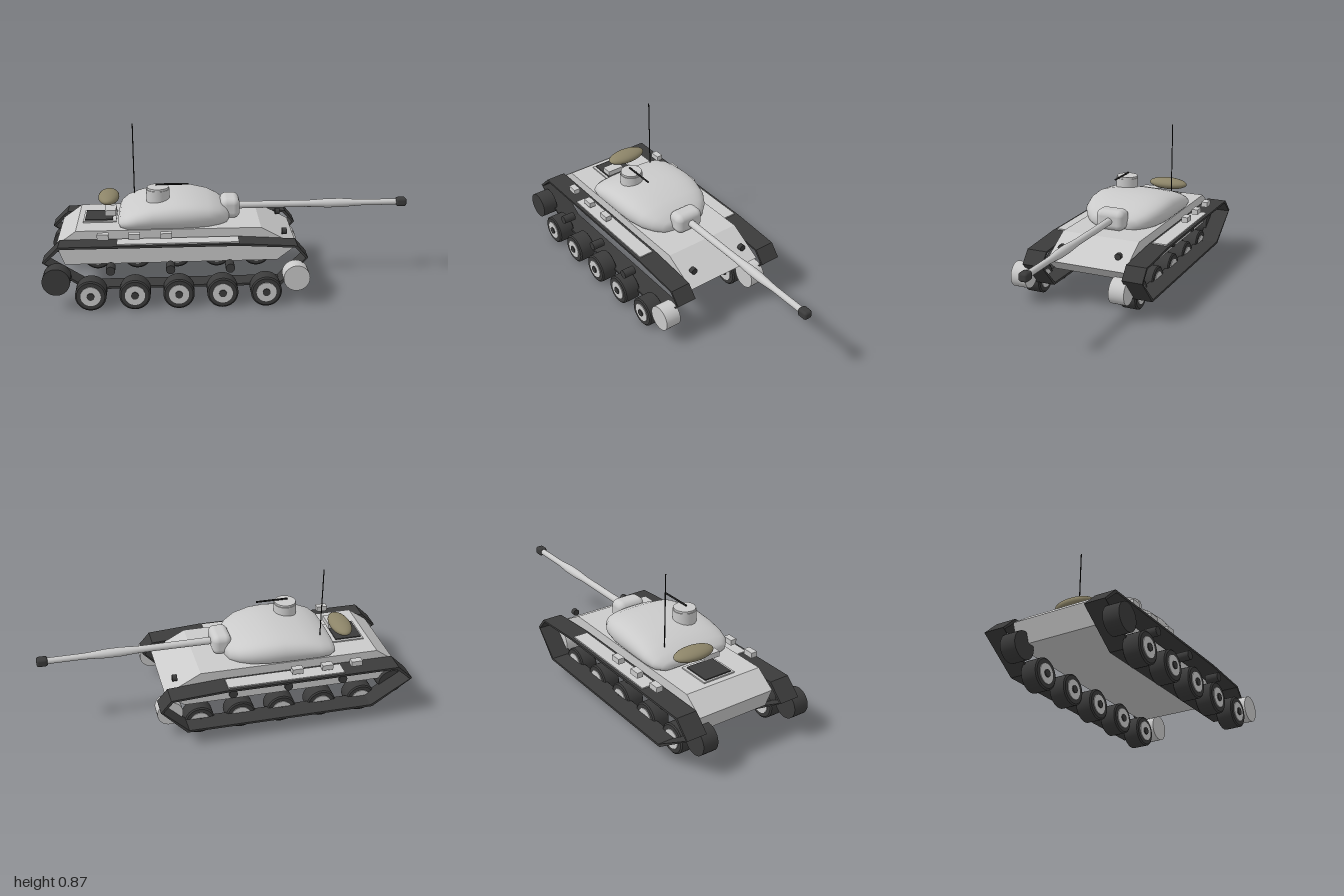
import * as THREE from 'three';
import { RoundedBoxGeometry } from 'three/addons/geometries/RoundedBoxGeometry.js';
import { toCreasedNormals } from 'three/addons/utils/BufferGeometryUtils.js';

const mat = (name, color) => {
  const m = new THREE.MeshStandardMaterial({ color });
  m.name = name;
  return m;
};

export function createModel() {
  const model = new THREE.Group();
  model.name = 'tank';
  const light = mat('light grey', 0xcacaca);
  const dark = mat('dark grey', 0x3b3b3b);
  const black = mat('black', 0x1c1c1c);
  const tan = mat('olive tan', 0x8c8468);

  const add = (name, geo, material, x = 0, y = 0, z = 0, parent = model) => {
    const mesh = new THREE.Mesh(geo, material);
    mesh.name = name;
    mesh.position.set(x, y, z);
    parent.add(mesh);
    return mesh;
  };
  const box = (w, h, d) => new THREE.BoxGeometry(w, h, d);
  const cylX = (r, len) => new THREE.CylinderGeometry(r, r, len, 24).rotateZ(-Math.PI / 2);
  const cylZ = (r, len) => new THREE.CylinderGeometry(r, r, len, 32).rotateX(Math.PI / 2);
  const vecs = (pts) => pts.map(([x, y]) => new THREE.Vector2(x, y));
  const lathe = (pts, seg = 32) => toCreasedNormals(new THREE.LatheGeometry(vecs(pts), seg), 0.6);
  const extrude = (shape, depth) =>
    new THREE.ExtrudeGeometry(shape, { depth, bevelEnabled: false }).translate(0, 0, -depth / 2);

  const MID = -0.043; // centre line of hull, turret and gun

  // Hull: side profile extruded across the width
  const hull = new THREE.Shape(vecs([
    [-0.895, 0.185], [0.25, 0.185], [0.355, 0.265], [0.16, 0.373], [-0.83, 0.373], [-0.937, 0.295],
  ]));
  add('hull', extrude(hull, 0.452), light, 0, 0, MID);

  // Engine deck grille and stowage
  add('engineGrilleFrame', box(0.18, 0.008, 0.19), light, -0.71, 0.376, -0.045);
  add('engineGrille', box(0.15, 0.008, 0.16), dark, -0.715, 0.382, -0.045);
  add('rearStowageBox', box(0.06, 0.03, 0.1), light, -0.65, 0.425, 0);
  add('stowageRoll', new THREE.SphereGeometry(1, 32, 20).scale(0.058, 0.033, 0.117), tan, -0.665, 0.471, -0.105);

  // Headlights
  for (const z of [0.123, -0.21]) add('headlight', cylX(0.018, 0.026), dark, 0.292, 0.328, z);

  // Running gear shapes
  const beltPts = [
    [-0.78, 0.09], [0.26, 0.09], [0.4, 0.24], [0.343, 0.308], [0.05, 0.327], [-0.915, 0.328], [-1, 0.245],
  ];
  const belt = new THREE.Shape(vecs(beltPts));
  belt.holes.push(new THREE.Path(
    vecs(beltPts.map(([x, y]) => [-0.3 + (x + 0.3) * 0.982, 0.209 + (y - 0.209) * 0.9])).reverse()));
  const beltGeo = extrude(belt, 0.115);
  const tireGeo = lathe([
    [0, -0.048], [0.074, -0.048], [0.082, -0.042], [0.082, 0.042], [0.074, 0.048], [0, 0.048],
  ], 40).rotateX(Math.PI / 2);

  for (const side of [1, -1]) {
    const gear = new THREE.Group();
    gear.name = side > 0 ? 'frontSideRunningGear' : 'backSideRunningGear';
    model.add(gear);
    const trackZ = MID + side * 0.29;
    const wheelZ = 0.045 + side * 0.29;
    add('trackBelt', beltGeo, dark, 0, 0, trackZ, gear);
    add('fenderPlate', box(0.645, 0.008, 0.083), light, -0.288, 0.33, trackZ, gear);
    for (const x of [-0.682, -0.517, -0.35]) {
      add('fenderBox', box(0.06, 0.03, 0.036), light, x, 0.367, trackZ + 0.008 * (side > 0 ? 1 : -1.2), gear);
    }
    // Road wheels with light discs and dark hub caps
    for (let i = 0; i < 5; i++) {
      const x = -0.749 + i * 0.2303;
      add('roadWheelTire', tireGeo, dark, x, 0.083, wheelZ, gear);
      add('roadWheelDisc', cylZ(0.053, 0.104), light, x, 0.083, wheelZ, gear);
      add('roadWheelHub', cylZ(0.02, 0.116), dark, x, 0.083, wheelZ, gear);
    }
    for (const x of [-0.642, -0.33, -0.018]) add('returnRoller', cylZ(0.024, 0.07), dark, x, 0.216, wheelZ, gear);
    add('driveSprocket', cylZ(0.073, 0.088), dark, -0.925, 0.164, wheelZ, gear);
    add('idlerWheel', cylZ(0.07, 0.088), light, 0.333, 0.154, wheelZ, gear);
  }

  // Turret: loft of cross-sections [x, half width, bottom, top]
  const sections = [
    [-0.607, 0, 0.395, 0.395], [-0.606, 0.15, 0.38, 0.41], [-0.595, 0.2, 0.372, 0.428],
    [-0.56, 0.235, 0.37, 0.455], [-0.5, 0.248, 0.37, 0.481], [-0.42, 0.25, 0.37, 0.503],
    [-0.3, 0.25, 0.37, 0.517], [-0.21, 0.244, 0.37, 0.513], [-0.12, 0.222, 0.37, 0.495],
    [-0.06, 0.185, 0.37, 0.469], [-0.02, 0.14, 0.37, 0.44], [-0.005, 0.09, 0.375, 0.42], [0, 0, 0.4, 0.4],
  ];
  const half = new THREE.CatmullRomCurve3([
    [0, 0], [0.5, 0], [0.86, 0.01], [0.96, 0.16], [1, 0.4], [0.97, 0.62], [0.88, 0.79], [0.7, 0.91], [0.4, 0.98], [0, 1],
  ].map(([z, y]) => new THREE.Vector3(0, y, z))).getPoints(24);
  const ring = [...half, ...half.slice(1, -1).reverse().map((p) => new THREE.Vector3(0, p.y, -p.z))];
  const n = ring.length, pos = [], idx = [];
  sections.forEach(([x, w, y0, y1], i) => {
    ring.forEach((p, j) => {
      pos.push(x, y0 + p.y * (y1 - y0), p.z * w);
      if (i === sections.length - 1) return;
      const a = i * n + j, c = i * n + (j + 1) % n;
      idx.push(a, a + n, c, a + n, c + n, c);
    });
  });
  const turret = new THREE.BufferGeometry();
  turret.setAttribute('position', new THREE.Float32BufferAttribute(pos, 3));
  turret.setIndex(idx);
  turret.computeVertexNormals();
  add('turret', turret, light, 0, 0, MID);

  // Gun
  add('mantlet', new RoundedBoxGeometry(0.106, 0.115, 0.164, 5, 0.035), light, 0.005, 0.429, MID);
  const barrel = new THREE.LatheGeometry(vecs([
    [0.02, 0], [0.019, 0.4], [0.02, 0.44], [0.025, 0.52], [0.025, 0.6], [0.019, 0.68], [0.017, 0.72], [0.017, 0.92],
  ]), 24).rotateZ(-Math.PI / 2);
  add('gunBarrel', barrel, light, 0.03, 0.427, MID);
  add('muzzle', new RoundedBoxGeometry(0.06, 0.047, 0.049, 4, 0.014), dark, 0.97, 0.427, MID);

  // Cupola with hatch and machine gun
  add('cupola', new THREE.CylinderGeometry(0.063, 0.063, 0.098, 32), light, -0.39, 0.51, 0.045);
  add('cupolaHatch', new THREE.CylinderGeometry(0.059, 0.059, 0.012, 32), light, -0.39, 0.564, 0.045);
  add('machineGun', cylX(0.005, 0.18), black, -0.313, 0.583, 0.045);

  // Antenna
  add('antenna', new THREE.CylinderGeometry(0.003, 0.003, 0.42, 8), black, -0.525, 0.656, -0.18);

  return model;
}
